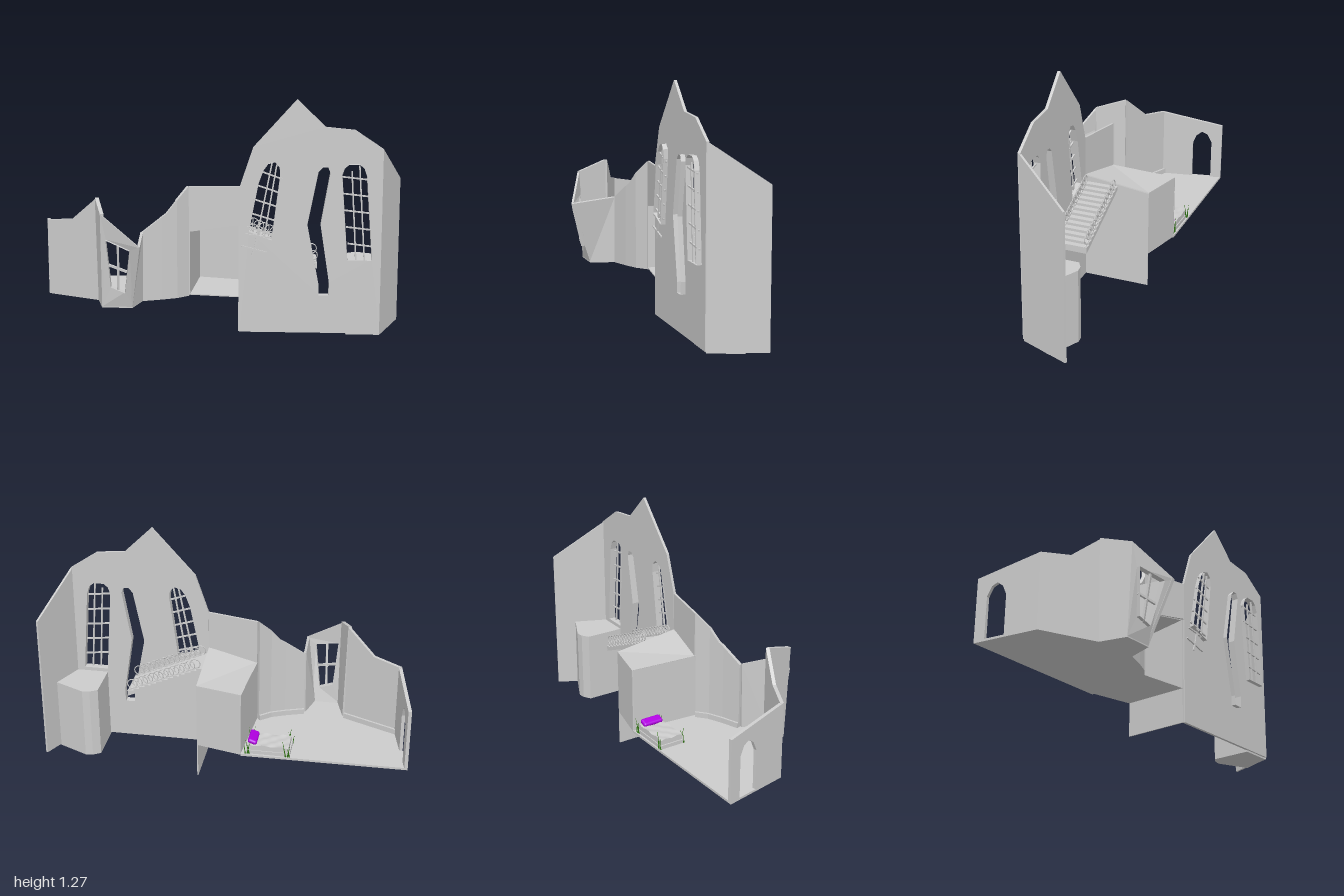
import * as THREE from 'three';
import { RoundedBoxGeometry } from 'three/addons/geometries/RoundedBoxGeometry.js';

const stone = new THREE.MeshStandardMaterial({ color: 0xcccccc, side: THREE.DoubleSide });
const leafGreen = new THREE.MeshStandardMaterial({ color: 0x2f7a10 });
const purple = new THREE.MeshStandardMaterial({ color: 0xb000e0 });
const V = (x, y, z) => new THREE.Vector3(x, y, z);
const vec2 = (pts) => pts.map(([x, y]) => new THREE.Vector2(x, y));

export function createModel() {
  const model = new THREE.Group();
  const add = (name, geo, mat = stone, parent = model) => {
    const mesh = new THREE.Mesh(geo, mat);
    mesh.name = name;
    parent.add(mesh);
    return mesh;
  };

  // Maps (u, v, depth) onto a four-cornered patch; corners run counter-clockwise from bottom left
  const patch = ([bl, br, tr, tl]) => {
    const n = br.clone().sub(bl).cross(tl.clone().sub(bl)).normalize();
    return (u, v, d) => bl.clone().lerp(br, u).lerp(tl.clone().lerp(tr, u), v).addScaledVector(n, d);
  };
  // Slab cut to an outline with holes, thickened inwards from the patch
  const panel = (name, corners, outline, thick = 0.015, holes = []) => {
    const shape = new THREE.Shape(vec2(outline));
    holes.forEach((h) => shape.holes.push(new THREE.Path(vec2(h))));
    const geo = new THREE.ExtrudeGeometry(shape, { depth: thick, bevelEnabled: false });
    const map = patch(corners), p = geo.attributes.position;
    for (let i = 0; i < p.count; i++) {
      const q = map(p.getX(i), p.getY(i), p.getZ(i) - thick);
      p.setXYZ(i, q.x, q.y, q.z);
    }
    geo.computeVertexNormals();
    add(name, geo);
    return map;
  };
  const unit = [[0, 0], [1, 0], [1, 1], [0, 1]];
  // Upright wall from a to b (x, z); the outline is (fraction along, height)
  const wall = (name, a, b, outline, thick, holes) =>
    panel(name, [V(a[0], 0, a[1]), V(b[0], 0, b[1]), V(b[0], 1, b[1]), V(a[0], 1, a[1])], outline, thick, holes);
  // Thin lip standing around an opening
  const lip = (name, map, pts, d0, d1) => {
    const pos = [];
    pts.forEach(([u, v], i) => {
      const [s, t] = pts[(i + 1) % pts.length];
      const [a, b, c, d] = [map(u, v, d0), map(s, t, d0), map(s, t, d1), map(u, v, d1)];
      [a, b, c, a, c, d].forEach((q) => pos.push(q.x, q.y, q.z));
    });
    const geo = new THREE.BufferGeometry();
    geo.setAttribute('position', new THREE.Float32BufferAttribute(pos, 3));
    geo.computeVertexNormals();
    add(name, geo);
  };
  const bar = (name, a, b, w = 0.008) => {
    const mesh = add(name, new THREE.BoxGeometry(w, w, a.distanceTo(b)));
    mesh.position.copy(a).lerp(b, 0.5);
    mesh.lookAt(b);
  };
  // Flat polygon in (x, z), raised from y0 by h
  const prism = (name, pts, y0, h) => {
    const shape = new THREE.Shape(vec2(pts.map(([x, z]) => [x, -z])));
    const geo = new THREE.ExtrudeGeometry(shape, { depth: h, bevelEnabled: false });
    add(name, geo.rotateX(-Math.PI / 2).translate(0, y0, 0));
  };

  // Tall gabled wall with three openings
  const leftWindow = [[0.165, 0.57], [0.285, 0.525], [0.328, 0.87], [0.325, 0.92], [0.3, 0.945], [0.265, 0.935], [0.24, 0.9], [0.215, 0.83]];
  const slit = [[0.54, 0.225], [0.592, 0.225], [0.595, 0.29], [0.545, 0.61], [0.592, 0.89], [0.58, 0.92], [0.552, 0.92], [0.53, 0.895], [0.475, 0.61], [0.54, 0.28]];
  const rightWindow = [[0.69, 0.42], [0.82, 0.42], [0.785, 0.87], [0.77, 0.915], [0.745, 0.935], [0.69, 0.935], [0.667, 0.915], [0.655, 0.88]];
  const openings = [leftWindow, slit, rightWindow];
  const gable = wall('gableWall', [0, 0.05], [1, 0.05],
    [[0.115, 0.01], [0.87, 0.01], [0.87, 1.015], [0.72, 1.115], [0.565, 1.13], [0.415, 1.275], [0.185, 1.02], [0.115, 0.81]], 0.015, openings);
  openings.forEach((o) => lip('windowReveal', gable, o, -0.015, 0.025));
  wall('sideWall', [0.87, 0.045], [0.99, -0.235], [[0, 0], [1, 0.01], [1, 0.815], [0, 1.015]], 0.012);

  // Window lattices
  const gz = 0.062;
  [[0.705, 0.9, 0.735, 0.42], [0.745, 0.93, 0.78, 0.42]].forEach(([a, b, c, d]) => bar('latticeUpright', V(a, b, gz), V(c, d, gz)));
  for (let i = 0; i < 5; i++) {
    const y = 0.5 + i * 0.09;
    bar('latticeCross', V(0.69 - i * 0.01, y + 0.01, gz), V(0.82 - i * 0.008, y - 0.005, gz));
  }
  [[0.285, 0.94, 0.2, 0.5], [0.31, 0.93, 0.245, 0.53]].forEach(([a, b, c, d]) => bar('latticeUpright', V(a, b, gz), V(c, d, gz)));
  for (let i = 0; i < 5; i++) {
    const y = 0.57 + i * 0.075;
    bar('latticeCross', V(0.155 + i * 0.018, y + 0.025, gz), V(0.295 + i * 0.011, y - 0.015, gz));
  }
  [[0.125, 0.49, 0.26, 0.455], [0.14, 0.555, 0.285, 0.535], [0.18, 0.435, 0.225, 0.57]].forEach(([a, b, c, d]) => bar('brokenBar', V(a, b, gz), V(c, d, gz)));

  // Alcove column against the side wall
  prism('alcoveColumn', [[0.69, 0.04], [0.69, -0.18], [0.73, -0.205], [0.77, -0.21], [0.94, -0.13], [0.868, 0.04]], 0, 0.4);

  // Sloping stair with looped railings
  const steps = 13, x0 = 0.117, x1 = 0.53, stairY = (x) => 0.565 - (x - x0) * 0.44;
  const profile = [[x0, 0.545], [x1, stairY(x1) - 0.02]];
  for (let i = steps; i > 0; i--) {
    const a = x0 + (x1 - x0) * i / steps, b = x0 + (x1 - x0) * (i - 1) / steps;
    profile.push([a, stairY(b)], [b, stairY(b)]);
  }
  add('stair', new THREE.ExtrudeGeometry(new THREE.Shape(vec2(profile)), { depth: 0.185, bevelEnabled: false }).translate(0, 0, -0.15));
  for (const z of [-0.14, 0.02]) {
    for (let i = 0; i < steps; i++) {
      const x = x0 + 0.04 + i * 0.029;
      add('railingLoop', new THREE.TorusGeometry(0.027, 0.003, 5, 14)).position.set(x, stairY(x) + 0.04, z);
    }
    bar('railingRail', V(x0 + 0.03, stairY(x0 + 0.03) + 0.012, z), V(x1, stairY(x1) + 0.012, z), 0.006);
  }

  // Boxed niche between the two halves
  wall('nicheFront', [-0.16, 0], [0.115, 0.05], [[0, 0.555], [1, 0.6], [1, 0.81], [0, 0.8]], 0.012);
  wall('nicheRightWall', [0.115, 0.04], [0.115, -0.325], [[0, 0.01], [1, 0.01], [1, 0.555], [0, 0.6]], 0.006);
  wall('nicheBack', [0.115, -0.325], [-0.13, -0.383], [[0, 0.2], [1, 0.2], [1, 0.555], [0, 0.555]], 0.006);
  wall('nicheLeftWall', [-0.13, -0.383], [-0.16, 0], [[0, 0.2], [1, 0.2], [1, 0.555], [0, 0.555]], 0.006);
  panel('nicheRoof', [V(-0.16, 0.557, 0), V(0.115, 0.602, 0.035), V(0.115, 0.557, -0.325), V(-0.13, 0.557, -0.383)], unit, 0.006);
  prism('nicheFloor', [[-0.16, 0], [0.115, 0.04], [0.115, -0.325], [-0.13, -0.383]], 0.2, 0.006);

  // Ruined room floor
  prism('roomFloor', [[-1, -0.375], [-0.13, -0.383], [-0.16, 0], [-0.22, 0.05], [-0.3, 0.085], [-0.4, 0.12],
    [-0.44, 0.255], [-0.6, 0.255], [-0.64, 0.11], [-0.93, -0.02]], 0.194, 0.012);

  // Room walls: start, end, and broken top line as (fraction, height)
  const roomWalls = [
    ['curvedWall', [-0.22, 0.05], [-0.16, 0], [[1, 0.8], [0, 0.73]]],
    ['curvedWall', [-0.3, 0.085], [-0.22, 0.05], [[1, 0.73], [0.35, 0.665], [0, 0.645]]],
    ['curvedWall', [-0.4, 0.12], [-0.3, 0.085], [[1, 0.645], [0, 0.57]]],
    ['frontWall', [-0.93, -0.02], [-0.64, 0.11], [[1, 0.755], [0.5, 0.625], [0, 0.605]]],
    ['endWall', [-1, -0.375], [-0.93, -0.02], [[1, 0.605], [0, 0.54]]],
  ];
  for (const [name, a, b, top] of roomWalls) {
    // The end wall's outline steps around an arched doorway
    const door = name === 'endWall' ? [[0.17, 0.2], [0.17, 0.43], [0.24, 0.48], [0.33, 0.495], [0.42, 0.47], [0.48, 0.42], [0.48, 0.2]] : [];
    wall(name, a, b, [[0, 0.2], ...door, [1, 0.2], ...top], 0.018);
    if (!door.length) wall('skirting', a, b, [[0, 0.2], [1, 0.2], [1, 0.235], [0, 0.235]], 0.03);
  }

  // Leaning bay with a crooked window
  const bl = V(-0.6, 0.2, 0.255), br = V(-0.44, 0.2, 0.255), tr = V(-0.385, 0.545, 0.375), tl = V(-0.6, 0.7, 0.28);
  const bayHole = [[0.3, 0.25], [0.73, 0.22], [0.77, 0.85], [0.15, 0.77]];
  const bay = panel('bayFront', [bl, br, tr, tl], unit, 0.012, [bayHole]);
  lip('bayWindowReveal', bay, bayHole, -0.012, 0.02);
  bar('bayWindowBar', bay(0.52, 0.235, 0.005), bay(0.47, 0.81, 0.005), 0.012);
  bar('bayWindowBar', bay(0.22, 0.5, 0.005), bay(0.75, 0.53, 0.005), 0.012);
  panel('bayLeftSide', [br, V(-0.4, 0.2, 0.12), V(-0.395, 0.57, 0.12), tr], unit, 0.015);
  panel('bayRightSide', [V(-0.64, 0.2, 0.11), bl, tl, V(-0.65, 0.755, 0.11)], unit, 0.02);

  // Bed with rumpled mattress, pillow and grassy corners
  const bed = new THREE.Group();
  bed.name = 'bed';
  bed.position.set(-0.27, 0.205, -0.303);
  model.add(bed);
  add('bedBase', new THREE.BoxGeometry(0.235, 0.02, 0.14), stone, bed).position.y = 0.012;
  const mattress = new THREE.BoxGeometry(0.22, 0.03, 0.13, 14, 1, 8), mp = mattress.attributes.position;
  for (let i = 0; i < mp.count; i++) {
    if (mp.getY(i) > 0) mp.setY(i, 0.015 + 0.004 * Math.sin(mp.getX(i) * 70) * Math.cos(mp.getZ(i) * 90));
  }
  mattress.computeVertexNormals();
  add('mattress', mattress, stone, bed).position.y = 0.035;
  const pillow = add('pillow', new RoundedBoxGeometry(0.05, 0.025, 0.115, 3, 0.012), purple, bed);
  pillow.position.set(0.083, 0.062, 0);
  pillow.rotation.z = 0.35;
  for (const sx of [-1, 1]) for (const sz of [-1, 1]) for (let k = 0; k < 3; k++) {
    const h = 0.06 + 0.02 * k;
    const blade = add('grassBlade', new THREE.ConeGeometry(0.004, h, 4).translate(0, h / 2, 0), leafGreen, bed);
    blade.position.set(sx * (0.116 - 0.01 * k), 0, sz * 0.07);
    blade.rotation.set(0.12 * Math.sin(k * 5 + sx), 0, 0.2 * Math.sin(k * 3 + sz));
  }
  return model;
}
